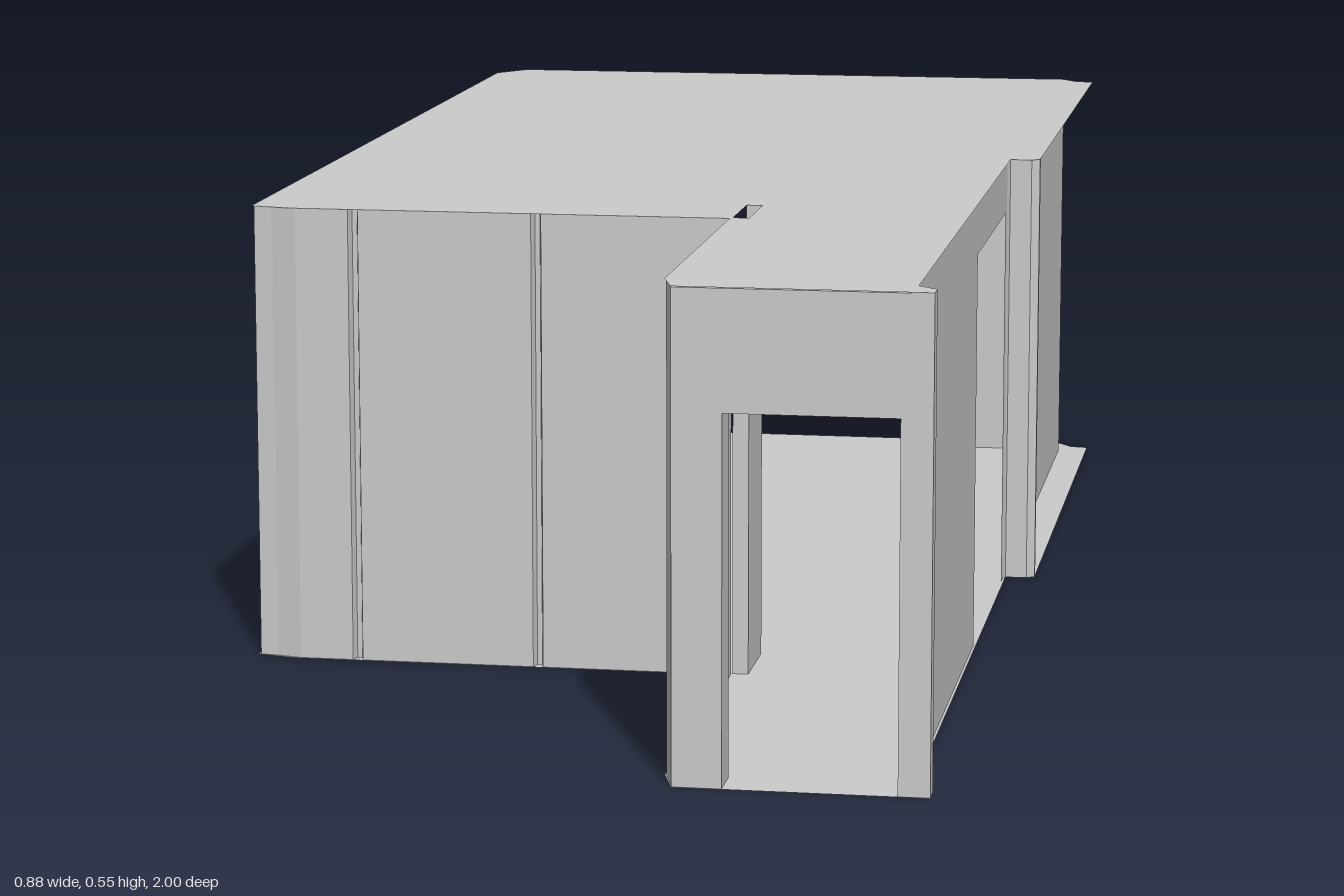
import * as THREE from 'three';

const H = 0.545; // roof height

export function createModel() {
  const group = new THREE.Group();
  const mat = new THREE.MeshStandardMaterial({ color: 0xcccccc, flatShading: true, side: THREE.DoubleSide });

  const add = (name, geo) => {
    const mesh = new THREE.Mesh(geo, mat);
    mesh.name = name;
    group.add(mesh);
    return mesh;
  };

  // Upright thin wall following a plan path of [x, z] points
  const wall = (name, path, y0 = 0, y1 = H) => {
    const pos = [];
    for (let i = 0; i + 1 < path.length; i++) {
      const [ax, az] = path[i], [bx, bz] = path[i + 1];
      pos.push(ax, y0, az, bx, y0, bz, bx, y1, bz, ax, y0, az, bx, y1, bz, ax, y1, az);
    }
    const geo = new THREE.BufferGeometry();
    geo.setAttribute('position', new THREE.Float32BufferAttribute(pos, 3));
    geo.computeVertexNormals();
    return add(name, geo);
  };

  // Box given by its lower and upper corners
  const box = (name, x0, y0, z0, x1, y1, z1) => {
    const geo = new THREE.BoxGeometry(x1 - x0, y1 - y0, z1 - z0);
    geo.translate((x0 + x1) / 2, (y0 + y1) / 2, (z0 + z1) / 2);
    return add(name, geo);
  };

  // Floor and roof share one plan, with a narrow slot beside the passage
  const plan = new THREE.Shape([
    [-0.445, -0.95], [-0.41, -1], [0.395, -1], [0.415, -0.975], [0.44, -0.97],
    [0.44, -0.09], [0.43, -0.08], [0.403, -0.08], [0.403, 0.955], [0.425, 0.975],
    [0.425, 1], [0.145, 1], [0.13, 0.95], [0.13, 0.497], [-0.4, 0.497], [-0.445, 0.485],
  ].map(([x, z]) => new THREE.Vector2(x, z)));
  plan.holes.push(new THREE.Path([[0.133, 0.385], [0.133, 0.49], [0.152, 0.49], [0.152, 0.385]]
    .map(([x, z]) => new THREE.Vector2(x, z))));
  for (const [name, y] of [['floor', 0], ['roof', H]]) {
    const geo = new THREE.ShapeGeometry(plan);
    geo.rotateX(Math.PI / 2);
    geo.translate(0, y, 0);
    add(name, geo);
  }

  // Front wall with grooves between its panels, running round to the long side wall
  const front = [[0.13, 0.495]];
  for (const x of [-0.1, -0.32]) {
    front.push([x + 0.006, 0.495], [x + 0.003, 0.484], [x - 0.003, 0.484], [x - 0.006, 0.495]);
  }
  front.push([-0.39, 0.495], [-0.42, 0.487], [-0.442, 0.485]);
  wall('frontWall', front);
  wall('longSideWall', [[-0.442, 0.485], [-0.442, -0.935]]);

  // Back wall around the wide doorway
  wall('backWall', [[-0.442, -0.935], [-0.385, -0.952], [-0.24, -0.945]]);
  wall('backWall', [[0.26, -0.945], [0.4, -0.945]]);
  wall('backWallTop', [[-0.24, -0.945], [0.26, -0.945]], 0.48);

  // Wide door frame standing proud of the back wall
  for (const [x0, x1] of [[-0.24, -0.225], [0.25, 0.265]]) box('backDoorJamb', x0, 0, -0.998, x1, 0.48, -0.93);
  box('backDoorLintel', -0.24, 0.465, -0.985, 0.265, 0.482, -0.93);
  box('backDoorTrim', -0.24, 0.478, -0.998, 0.265, 0.49, -0.985);

  // Side wall with its doorway and projecting fin
  wall('sideWall', [[0.4, -0.945], [0.4, -0.05]]);
  wall('sideWall', [[0.4, 0.3], [0.4, 0.955]]);
  wall('sideWallTop', [[0.4, -0.05], [0.4, 0.3]], 0.48);
  wall('sideFin', [[0.4, -0.07], [0.403, -0.08], [0.43, -0.08], [0.44, -0.088], [0.44, -0.097], [0.4, -0.097]]);
  box('passageBeam', 0.133, 0.475, 0.3, 0.4, 0.49, 0.315);

  // Slot lining
  wall('slotLining', [[0.133, 0.49], [0.152, 0.49], [0.152, 0.385], [0.133, 0.385]]);

  // Passage wall with side doorway
  wall('passageWall', [[0.132, 0.495], [0.132, 0.62]]);
  wall('passageWall', [[0.132, 0.88], [0.132, 0.95], [0.145, 0.998]]);
  wall('passageWallTop', [[0.132, 0.62], [0.132, 0.88]], 0.48);
  for (const z of [0.62, 0.868]) box('sideDoorJamb', 0.128, 0, z, 0.147, 0.48, z + 0.012);
  box('sideDoorLintel', 0.128, 0.475, 0.62, 0.147, 0.49, 0.88);

  // Passage end wall with front doorway
  box('frontDoorJamb', 0.145, 0, 0.95, 0.2, 0.41, 0.999);
  box('frontDoorJamb', 0.39, 0, 0.95, 0.402, 0.41, 0.999);
  box('frontDoorLintel', 0.145, 0.41, 0.95, 0.402, H - 0.001, 0.999);
  wall('endTrim', [[0.402, 0.955], [0.425, 0.975], [0.425, 0.999], [0.4, 0.999]]);

  return group;
}
